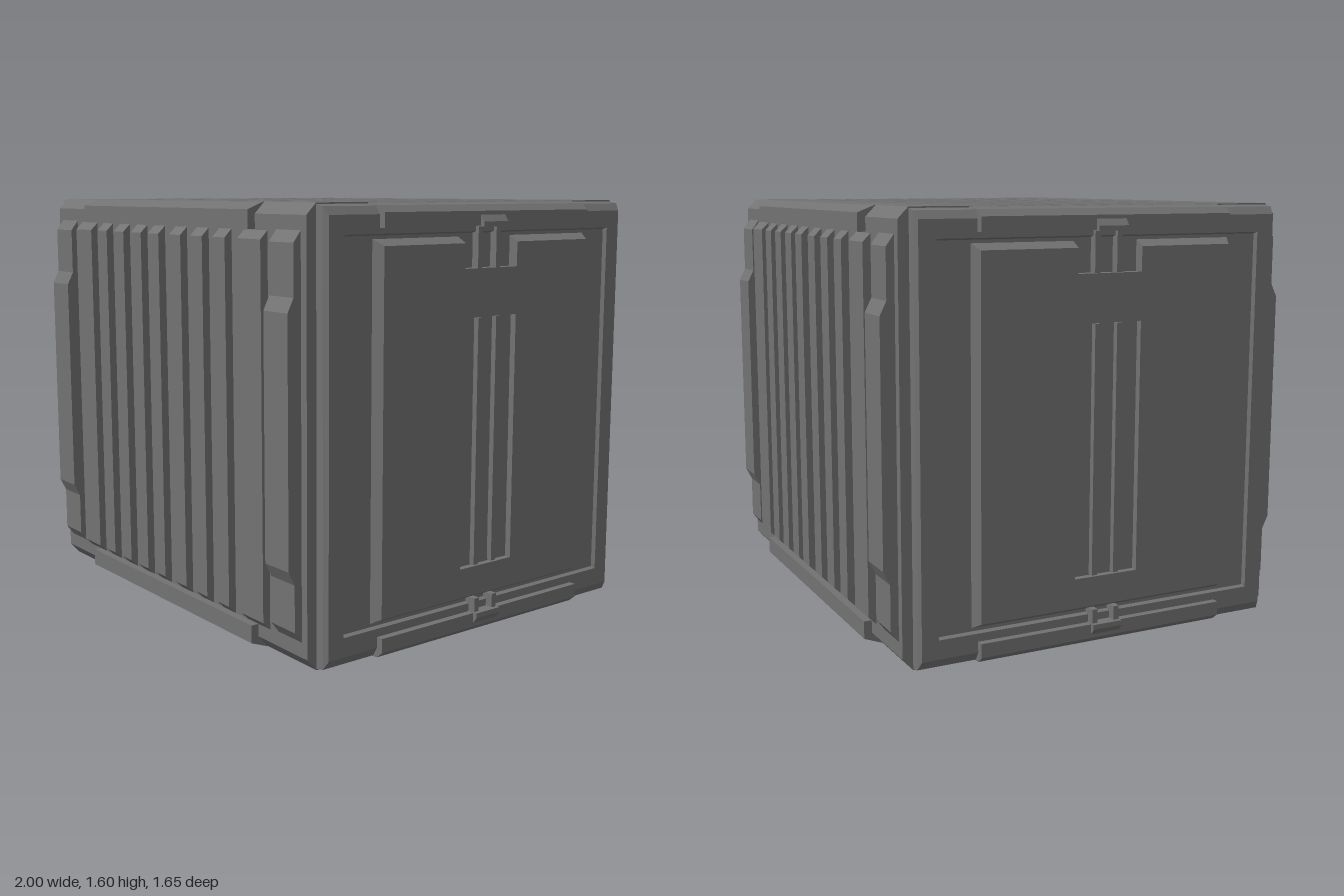
import * as THREE from 'three';

const H = 1.6;
const material = new THREE.MeshStandardMaterial({ color: 0x727272, flatShading: true });

function part(name, geometry, parent) {
  const mesh = new THREE.Mesh(geometry, material);
  mesh.name = name;
  parent.add(mesh);
  return mesh;
}

// Stepped plate: rectangles [u0, u1, v0, v1, depth] joined in order, the last one capped
function stepped(rects) {
  const loops = rects.map(([u0, u1, v0, v1, d]) =>
    [[u0, v0, d], [u1, v0, d], [u1, v1, d], [u0, v1, d]]);
  const pos = [];
  const quad = (a, b, c, d) => pos.push(...a, ...b, ...c, ...a, ...c, ...d);
  for (let i = 0; i + 1 < loops.length; i++) {
    for (let k = 0; k < 4; k++) {
      const n = (k + 1) % 4;
      quad(loops[i][k], loops[i][n], loops[i + 1][n], loops[i + 1][k]);
    }
  }
  quad(...loops[loops.length - 1]);
  const geometry = new THREE.BufferGeometry();
  geometry.setAttribute('position', new THREE.Float32BufferAttribute(pos, 3));
  geometry.computeVertexNormals();
  return geometry;
}

// Profile of [outward, y] points swept sideways across a face
function swept(points, width, centre = 0) {
  const shape = new THREE.Shape(points.map(([o, y]) => new THREE.Vector2(o, y)));
  return new THREE.ExtrudeGeometry(shape, { depth: width, bevelEnabled: false })
    .translate(0, 0, -width / 2).rotateY(-Math.PI / 2).translate(centre, 0, 0);
}

const flipY = (points) => points.map(([o, y]) => [o, H - y]);
const toVectors = (points) => points.map(([x, y]) => new THREE.Vector2(x, y));

// Front and back: ribs, corner straps and edge rails
const ribSpans = [[-0.685, -0.55], [-0.495, -0.415], [-0.355, -0.275], [-0.215, -0.135],
  [-0.08, 0], [0.08, 0.16], [0.23, 0.31], [0.38, 0.46], [0.54, 0.68]];

function ribbedFace(name, shift) {
  const face = new THREE.Group();
  face.name = name;
  for (const [a, b] of ribSpans) {
    const u0 = a + shift, u1 = b + shift;
    part('wallRib', stepped([[u0, u1, 0.088, 1.51, 0.765], [u0, u1, 0.122, 1.475, 0.8]]), face);
  }
  const strap = [[0.75, 0.1], [0.77, 0.1], [0.8, 0.14], [0.8, 0.31], [0.825, 0.36],
    [0.825, 1.24], [0.8, 1.29], [0.8, 1.47], [0.77, 1.51], [0.75, 1.51]];
  for (const s of [-1, 1]) part('cornerStrap', swept(strap, 0.138, s * 0.8), face);
  const rail = [[0.72, H], [0.735, H], [0.8, 1.575], [0.8, 1.508], [0.72, 1.508]];
  part('topRail', swept(rail, 1.21), face);
  part('bottomRail', swept(flipY(rail), 1.21), face);
  return face;
}

// Raised panel with a notch and a slot; its outer edge is drawn in at the top to form a bevel
function panelGeometry() {
  const shape = new THREE.Shape(toVectors([[-0.527, 0.13], [0.527, 0.13], [0.527, 1.48],
    [0.13, 1.48], [0.13, 1.365], [-0.13, 1.365], [-0.13, 1.48], [-0.527, 1.48]]));
  shape.holes.push(new THREE.Path(toVectors(
    [[-0.13, 0.265], [0.13, 0.265], [0.13, 1.19], [-0.13, 1.19]])));
  const geometry = new THREE.ExtrudeGeometry(shape, { depth: 0.045, bevelEnabled: false });
  const p = geometry.attributes.position;
  for (let i = 0; i < p.count; i++) {
    if (p.getZ(i) < 0.02) continue;
    p.setX(i, THREE.MathUtils.clamp(p.getX(i), -0.505, 0.505));
    p.setY(i, THREE.MathUtils.clamp(p.getY(i), 0.155, 1.455));
  }
  geometry.computeVertexNormals();
  return geometry.translate(0, 0, 0.935);
}

// Left and right: framed wall, raised panel, rails and clasps
function panelFace(name) {
  const face = new THREE.Group();
  face.name = name;
  part('sideFrame', stepped([
    [-0.73, 0.73, 0.003, 1.597, 0.89], [-0.73, 0.73, 0.012, 1.588, 0.935],
    [-0.72, 0.72, 0.045, 1.56, 0.955], [-0.655, 0.655, 0.115, 1.495, 0.955],
    [-0.649, 0.649, 0.121, 1.489, 0.94]]), face);
  part('sidePanel', panelGeometry(), face);
  part('slotFloor', stepped([[-0.13, 0.13, 0.265, 1.19, 0.955]]), face);

  for (const s of [-1, 1]) {
    const bar = (bottom, top, out) =>
      stepped([[s * 0.045 - 0.015, s * 0.045 + 0.015, bottom, top, 0.92],
        [s * 0.045 - 0.011, s * 0.045 + 0.011, bottom, top, out]]);
    part('slotBar', bar(0.268, 1.187, 0.975), face);
    part('upperClaspBar', bar(1.365, 1.53, 0.968), face);
    part('lowerClaspBar', bar(0.06, 0.14, 0.984), face);
  }

  const rail = [[0.885, 1.596], [0.955, 1.59], [0.982, 1.567], [0.982, 1.515], [0.885, 1.515]];
  const clasp = [[0.885, 1.58], [0.962, 1.58], [1.0, 1.53], [1.0, 1.512], [0.885, 1.512]];
  part('upperSideRail', swept(rail, 1.01), face);
  part('lowerSideRail', swept(flipY(rail), 1.01), face);
  part('upperClasp', swept(clasp, 0.12), face);
  part('lowerClasp', swept(flipY(clasp), 0.12), face);
  return face;
}

export function createModel() {
  const crate = new THREE.Group();
  crate.name = 'crate';

  // Body with a shallow recess across the lid
  part('body', swept([[-0.77, 0.045], [0.77, 0.045], [0.77, 1.56], [0.73, H],
    [0.51, H], [0.51, 1.567], [-0.51, 1.567], [-0.51, H], [-0.73, H],
    [-0.77, 1.56]], 1.8), crate);

  // Chamfered rim around a recessed underside
  const base = part('baseRim', stepped([[-0.9, 0.9, -0.77, 0.77, -0.045],
    [-0.9, 0.9, -0.73, 0.73, 0], [-0.88, 0.88, -0.71, 0.71, 0],
    [-0.88, 0.88, -0.71, 0.71, -0.04]]), crate);
  base.rotation.x = Math.PI / 2;

  const front = ribbedFace('front', 0);
  const back = ribbedFace('back', -0.027);
  back.rotation.y = Math.PI;
  const left = panelFace('leftSide');
  left.rotation.y = Math.PI / 2;
  const right = panelFace('rightSide');
  right.rotation.y = -Math.PI / 2;
  crate.add(front, back, left, right);

  // Ribs across the lid
  const lid = new THREE.Group();
  lid.name = 'lidRibs';
  lid.rotation.x = -Math.PI / 2;
  for (const [z0, z1] of [[-0.46, -0.37], [-0.33, -0.275], [-0.22, -0.165], [-0.115, -0.06],
    [-0.01, 0.04], [0.08, 0.135], [0.18, 0.235], [0.27, 0.325], [0.36, 0.455]]) {
    part('lidRib', stepped([[-0.885, 0.885, -z1, -z0, 1.565], [-0.83, 0.83, -z1, -z0, H]]), lid);
  }
  crate.add(lid);
  return crate;
}
